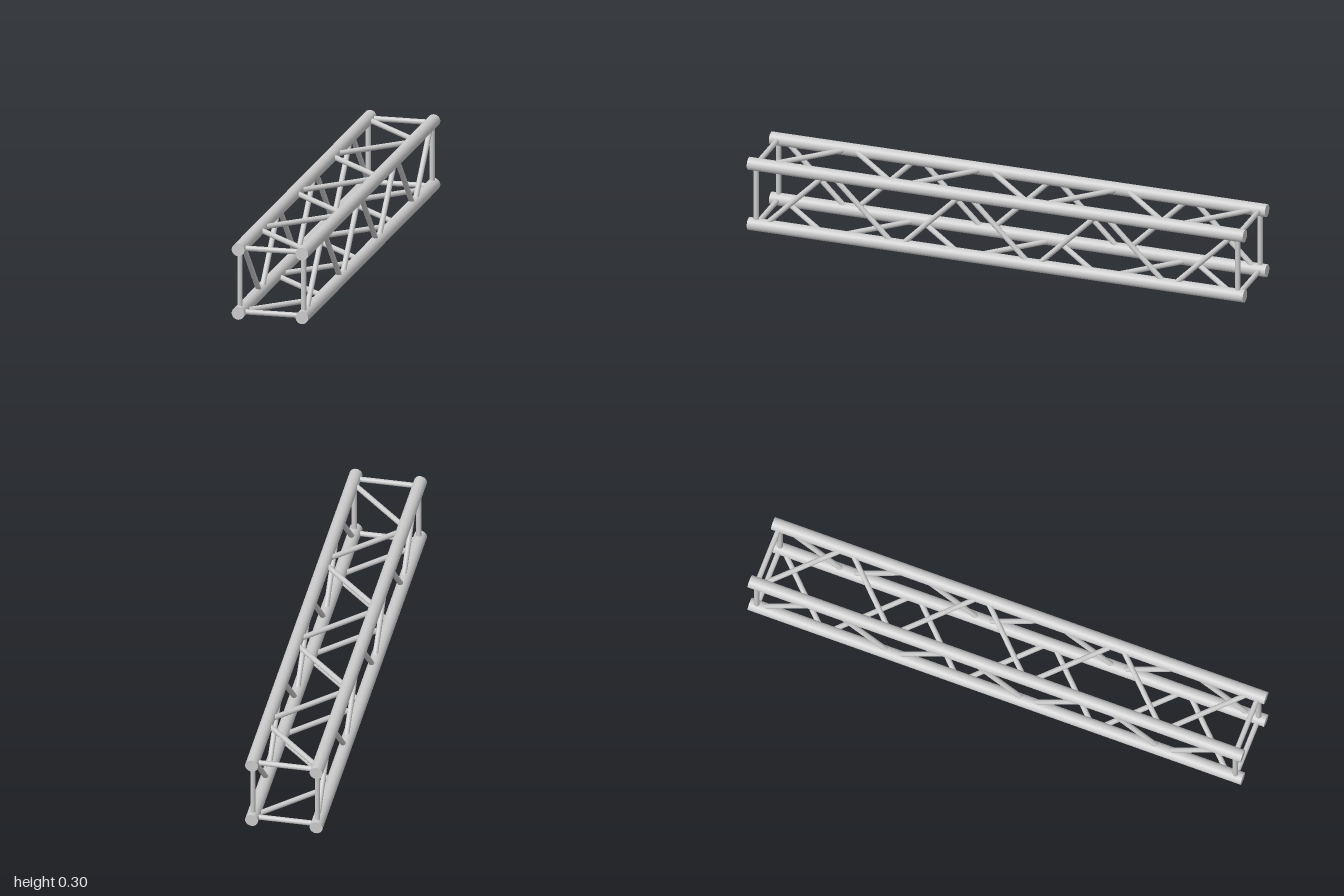
import * as THREE from 'three';

const HALF = 0.125;      // half spacing of the chords
const MID = 0.15;        // height of the truss axis
const CHORD_R = 0.025;
const BRACE_R = 0.0103;
const BAYS = 7;
const PITCH = 0.2745;
const FIRST_BAY = 0.814;

export function createModel() {
  const truss = new THREE.Group();
  truss.name = 'boxTruss';
  const material = new THREE.MeshStandardMaterial({ color: 0xcccccc });

  // Round bar between two points
  function bar(name, a, b, radius, sides) {
    const from = new THREE.Vector3(...a);
    const dir = new THREE.Vector3(...b).sub(from);
    const mesh = new THREE.Mesh(new THREE.CylinderGeometry(radius, radius, dir.length(), sides), material);
    mesh.position.copy(from).addScaledVector(dir, 0.5);
    mesh.quaternion.setFromUnitVectors(new THREE.Vector3(0, 1, 0), dir.normalize());
    mesh.name = name;
    truss.add(mesh);
  }

  // Corners of the square section, in order round the truss
  const corners = [[HALF, MID - HALF], [HALF, MID + HALF], [-HALF, MID + HALF], [-HALF, MID - HALF]];
  const faces = ['left', 'top', 'right', 'bottom'];
  // Small offsets of the lacing from the face planes
  const offsets = [[0, 0], [0, 0], [0.005, 0], [0, -0.005]];

  corners.forEach((a, i) => {
    const b = corners[(i + 1) % 4];
    const [ox, oy] = offsets[i];

    // Long main tube
    bar('chord', [...a, 1], [...a, -1], CHORD_R, 32);

    // Struts closing both ends
    for (const z of [0.97, -0.972]) bar(faces[i] + 'EndStrut', [...a, z], [...b, z], BRACE_R, 20);

    // Zigzag lacing; opposite faces slope opposite ways
    for (let k = 0; k < BAYS; k++) {
      const z = FIRST_BAY - k * PITCH;
      const s = k % 2 ? -HALF : HALF;
      bar(faces[i] + 'Diagonal', [a[0] + ox, a[1] + oy, z + s], [b[0] + ox, b[1] + oy, z - s], BRACE_R, 20);
    }
  });

  return truss;
}
